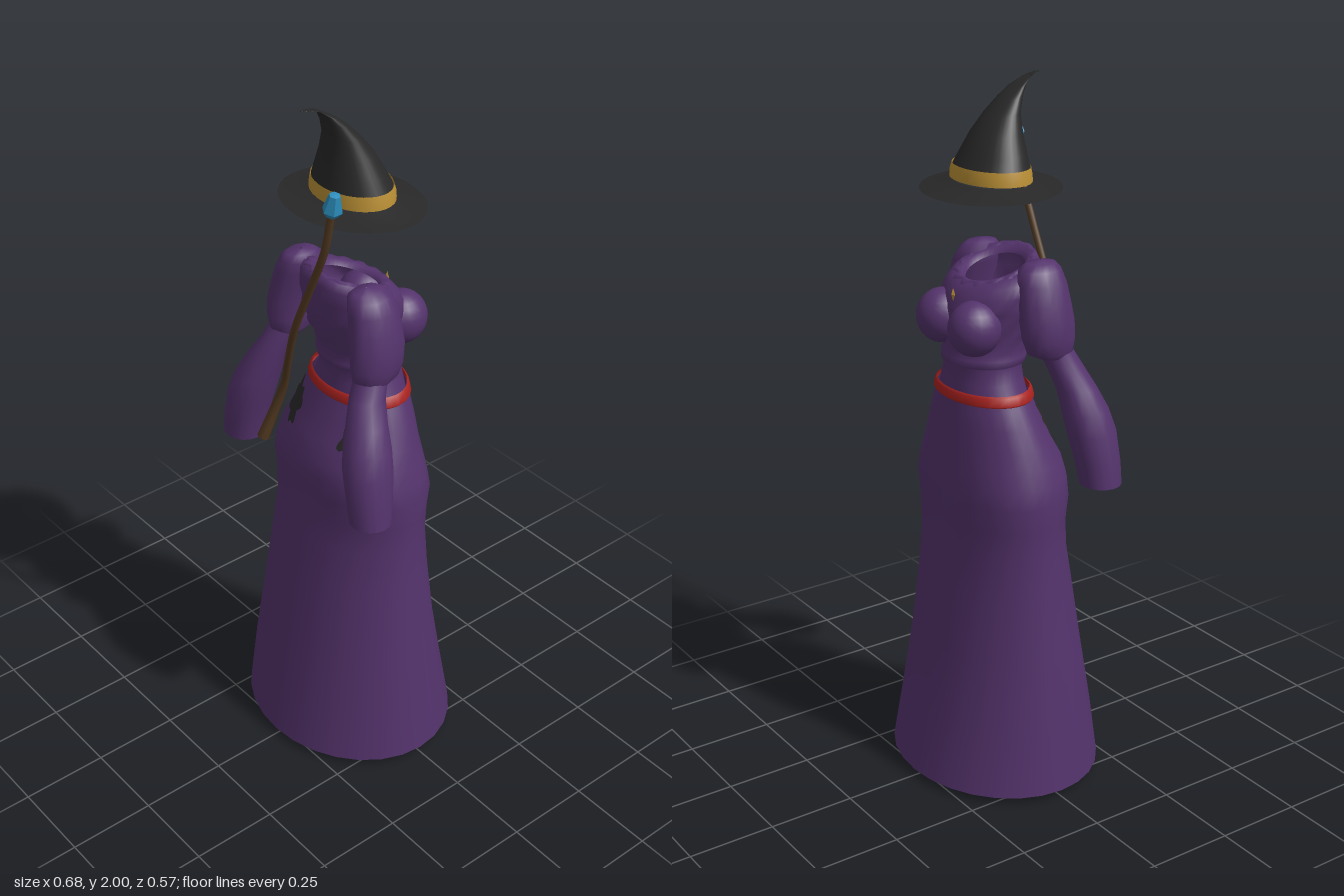
import * as THREE from 'three';

const mat = (name, color) => {
  const m = new THREE.MeshStandardMaterial({ color, side: THREE.DoubleSide });
  m.name = name;
  return m;
};

// Surface through stacked oval rings: [y, rx, zFront, zBack, x, tilt, power]
function loft(rings, seg = 24, wobble = () => 0) {
  const pos = [], idx = [];
  rings.forEach(([y, rx, z0, z1, x = 0, tilt = 0, power = 2], i) => {
    const rz = (z1 - z0) / 2, zc = (z0 + z1) / 2;
    for (let j = 0; j < seg; j++) {
      const a = (j / seg) * Math.PI * 2, c = Math.cos(a), s = Math.sin(a);
      const k = (1 + wobble(a, i)) / Math.pow(Math.abs(c) ** power + Math.abs(s) ** power, 1 / power);
      pos.push(x + rx * c * k, y + tilt * s * rz, zc + rz * s * k);
      if (i < rings.length - 1) {
        const n = (j + 1) % seg, p = i * seg + j, q = i * seg + n;
        idx.push(p, p + seg, q, q, p + seg, q + seg);
      }
    }
  });
  const g = new THREE.BufferGeometry();
  g.setAttribute('position', new THREE.Float32BufferAttribute(pos, 3));
  g.setIndex(idx);
  g.computeVertexNormals();
  return g;
}

export function createModel() {
  const root = new THREE.Group();
  root.name = 'witchOutfit';
  const purple = mat('purpleCloth', 0x54336c);
  const black = mat('blackCloth', 0x282828);
  const gold = mat('gold', 0xb98f35);
  const red = mat('redBelt', 0xa8221f);
  const wood = mat('darkWood', 0x513820);
  const blue = mat('blueCrystal', 0x2b8cba);
  const add = (name, geo, material, parent = root) => {
    const m = new THREE.Mesh(geo, material);
    m.name = name;
    parent.add(m);
    return m;
  };

  // Long skirt, squarer around the hips
  const skirtRings = [
    [0.02, 0.335, -0.283, 0.283], [0.2, 0.317, -0.247, 0.255], [0.4, 0.292, -0.212, 0.22],
    [0.6, 0.269, -0.188, 0.188], [0.72, 0.259, -0.178, 0.167], [0.8, 0.258, -0.174, 0.157, 0, 0, 2.15],
    [0.87, 0.26, -0.172, 0.155, 0, 0, 2.4], [0.92, 0.25, -0.169, 0.156, 0, 0, 2.35],
    [0.97, 0.235, -0.166, 0.148, 0, 0, 2.2], [1.02, 0.218, -0.163, 0.126], [1.08, 0.193, -0.158, 0.1],
    [1.12, 0.174, -0.153, 0.084], [1.16, 0.153, -0.147, 0.068],
  ];
  add('skirt', loft(skirtRings, 28), purple);

  // Dark lace patches lying on the skirt
  const skirtZ = (x, y) => {
    const i = Math.max(1, skirtRings.findIndex(r => r[0] >= y));
    const a = skirtRings[i - 1], b = skirtRings[i], t = (y - a[0]) / (b[0] - a[0]);
    const [, rx, z0, z1] = a.map((v, k) => v + (b[k] - v) * t);
    return (z0 + z1) / 2 + ((z1 - z0) / 2) * Math.sqrt(Math.max(0, 1 - (x / rx) ** 2));
  };
  for (const side of [-1, 1]) {
    const g = new THREE.RingGeometry(0.01, 1, 36, 5);
    const p = g.attributes.position;
    for (let i = 0; i < p.count; i++) {
      const a = Math.atan2(p.getY(i), p.getX(i));
      const k = 0.85 + 0.14 * Math.sin(a * 7 + 1) + 0.1 * Math.sin(a * 4);
      const x = side * 0.127 + p.getX(i) * 0.042 * k;
      const y = 1.06 + p.getY(i) * 0.064 * k;
      p.setXYZ(i, x, y, skirtZ(x, y) + 0.007);
    }
    g.computeVertexNormals();
    add('lacePatch', g, black);
  }

  // Belt
  add('belt', loft([
    [1.14, 0.166, -0.153, 0.08], [1.145, 0.17, -0.157, 0.084],
    [1.165, 0.162, -0.154, 0.08], [1.17, 0.155, -0.148, 0.073],
  ], 28), red);

  // Bodice with gathered folds and an open sloping neckline
  add('bodice', loft([
    [1.14, 0.152, -0.146, 0.07], [1.19, 0.13, -0.143, 0.062], [1.235, 0.116, -0.138, 0.06],
    [1.24, 0.126, -0.148, 0.074], [1.26, 0.127, -0.147, 0.078], [1.275, 0.119, -0.138, 0.07],
    [1.3, 0.128, -0.14, 0.082], [1.32, 0.126, -0.138, 0.083], [1.345, 0.139, -0.142, 0.1],
    [1.365, 0.137, -0.14, 0.098], [1.39, 0.15, -0.142, 0.113], [1.41, 0.15, -0.138, 0.11, 0, 0.08],
    [1.44, 0.155, -0.132, 0.118, 0, 0.15], [1.475, 0.148, -0.118, 0.118, 0, 0.25],
    [1.495, 0.125, -0.1, 0.11, 0, 0.32], [1.497, 0.095, -0.085, 0.092, 0, 0.35],
    [1.48, 0.085, -0.075, 0.08, 0, 0.35],
  ], 40, (a, i) => (i > 5 && i < 15 ? 0.012 * Math.sin(a * 9 + i * 1.7) : 0)), purple);

  // Ruffle around the neckline
  add('neckRuffle', loft([
    [1.49, 0.12, -0.105, 0.11, 0, 0.33], [1.502, 0.113, -0.098, 0.104, 0, 0.34],
    [1.497, 0.1, -0.087, 0.093, 0, 0.34],
  ], 60, (a, i) => 0.04 * Math.sin(a * 15 + i)), purple);
  const pendant = add('pendant', new THREE.OctahedronGeometry(0.012), gold);
  pendant.position.set(0, 1.43, -0.134);
  pendant.scale.set(0.7, 1.6, 0.5);

  // Bust, puffed sleeves, bell sleeves and boots, mirrored
  for (const side of [-1, 1]) {
    const bust = add('bust', new THREE.SphereGeometry(0.075, 20, 14), purple);
    bust.position.set(side * 0.077, 1.352, -0.117);
    bust.scale.set(0.95, 1.02, 1);

    add('puffSleeve', loft([
      [1.27, 0.042, 0.02, 0.11, side * 0.178], [1.285, 0.052, -0.01, 0.125, side * 0.177],
      [1.32, 0.058, -0.025, 0.13, side * 0.178], [1.37, 0.06, -0.03, 0.127, side * 0.175],
      [1.42, 0.058, -0.028, 0.122, side * 0.165], [1.47, 0.057, -0.024, 0.117, side * 0.153],
      [1.505, 0.05, -0.012, 0.11, side * 0.14], [1.522, 0.032, 0.01, 0.095, side * 0.138],
      [1.528, 0.002, 0.05, 0.056, side * 0.135],
    ], 24, (a, i) => 0.02 * Math.sin(a * 8 + i)), purple);

    add('bellSleeve', loft([
      [0.915, 0.061, 0.1, 0.215, side * 0.28], [0.98, 0.063, 0.09, 0.217, side * 0.271],
      [1.06, 0.066, 0.074, 0.215, side * 0.254], [1.12, 0.064, 0.067, 0.2, side * 0.238],
      [1.18, 0.055, 0.062, 0.175, side * 0.218], [1.24, 0.045, 0.045, 0.148, side * 0.193],
      [1.3, 0.042, 0.02, 0.115, side * 0.178],
    ], 16), purple);

    const boot = add('boot', new THREE.CylinderGeometry(0.05, 0.04, 0.5, 14), black);
    boot.position.set(side * 0.117, 0.25, 0.02);
  }

  // Pointed hat: brim, band and curled crown
  const hat = new THREE.Group();
  hat.name = 'hat';
  root.add(hat);
  add('brim', loft([
    [1.708, 0.213, -0.192, 0.168, 0, 0.05], [1.713, 0.18, -0.158, 0.134, 0, 0.03],
    [1.72, 0.15, -0.125, 0.102, 0, 0.01], [1.726, 0.128, -0.104, 0.081],
  ], 32), black, hat);
  add('hatBand', loft([
    [1.731, 0.134, -0.109, 0.086], [1.75, 0.132, -0.108, 0.085], [1.769, 0.127, -0.103, 0.082],
  ], 32), gold, hat);
  add('crown', loft([
    [1.765, 0.124, -0.101, 0.081], [1.8, 0.108, -0.083, 0.076], [1.85, 0.084, -0.056, 0.069],
    [1.9, 0.06, -0.02, 0.067, 0, 0.1], [1.94, 0.042, 0.016, 0.08, 0, 0.25],
    [1.965, 0.03, 0.045, 0.094, 0, 0.4], [1.984, 0.018, 0.078, 0.116, 0, 0.5],
    [1.995, 0.009, 0.116, 0.136, 0, 0.3], [1.998, 0.001, 0.156, 0.158],
  ], 32), black, hat);

  // Crooked staff slung behind, widening to a hooked foot
  const path = new THREE.CatmullRomCurve3([
    [-0.125, 0.99, 0.205], [-0.11, 1.07, 0.178], [-0.085, 1.16, 0.16], [-0.04, 1.28, 0.175],
    [0.01, 1.4, 0.19], [0.085, 1.57, 0.187], [0.13, 1.68, 0.184], [0.153, 1.79, 0.181],
  ].map(p => new THREE.Vector3(...p)));
  const staff = new THREE.TubeGeometry(path, 28, 0.012, 8);
  const sp = staff.attributes.position;
  for (let i = 0; i < sp.count; i++) {
    const t = Math.floor(i / 9) / 28, c = path.getPointAt(t);
    const k = 0.85 + 0.6 * Math.max(0, 1 - t * 4);
    const v = new THREE.Vector3().fromBufferAttribute(sp, i).sub(c).multiplyScalar(k).add(c);
    sp.setXYZ(i, v.x, v.y, v.z);
  }
  add('staff', staff, wood);

  // Faceted crystal on the staff
  const crystalGeo = new THREE.LatheGeometry(
    [[0, -0.03], [0.016, -0.03], [0.027, -0.014], [0.015, 0.032], [0, 0.034]]
      .map(p => new THREE.Vector2(...p)), 6).toNonIndexed();
  crystalGeo.computeVertexNormals();
  const crystal = add('crystal', crystalGeo, blue);
  crystal.position.set(0.16, 1.815, 0.181);
  crystal.rotation.z = -0.22;

  return root;
}
